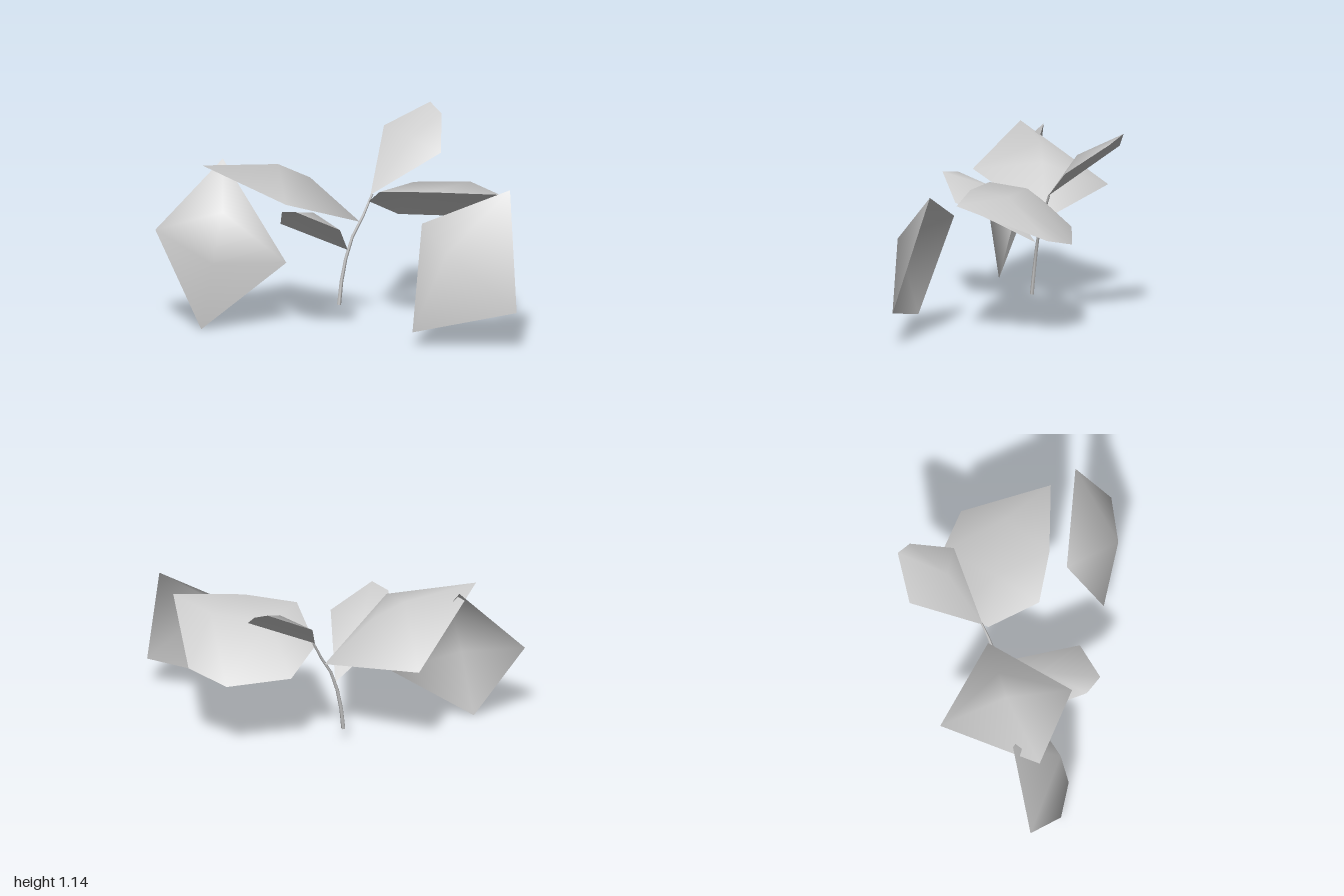
import * as THREE from 'three';

const grey = new THREE.MeshStandardMaterial({ color: 0xcccccc, side: THREE.DoubleSide });
grey.name = 'pale grey';

// A folded leaf: a raised midrib joined to a left and a right edge, all running base to tip.
function makeLeaf(name, { base, tip, left, right, rib }) {
  const points = [base, tip];
  const index = [];
  const chain = (list) => [0, ...list.map((p) => points.push(p) - 1), 1];
  const ribChain = chain(rib);

  const fill = (edge, flip) => {
    let i = 0;
    let j = 0;
    while (i < edge.length - 1 || j < ribChain.length - 1) {
      const nextEdge = (i + 1) / (edge.length - 1);
      const nextRib = (j + 1) / (ribChain.length - 1);
      const tri = [edge[i], ribChain[j]];
      if (nextEdge <= nextRib) tri.push(edge[++i]);
      else tri.push(ribChain[++j]);
      if (new Set(tri).size === 3) index.push(...(flip ? tri.reverse() : tri));
    }
  };
  fill(chain(left), false);
  fill(chain(right), true);

  const geometry = new THREE.BufferGeometry();
  geometry.setAttribute('position', new THREE.Float32BufferAttribute(points.flat(), 3));
  geometry.setIndex(index);
  geometry.computeVertexNormals();
  const mesh = new THREE.Mesh(geometry, grey);
  mesh.name = name;
  return mesh;
}

// Thin curved stem, narrowing towards the top.
function makeStem() {
  const path = new THREE.CatmullRomCurve3([
    [0.03, 0.1, -0.14], [0.055, 0.3, -0.158], [0.11, 0.49, -0.18],
    [0.16, 0.58, -0.2], [0.22, 0.715, -0.235],
  ].map((p) => new THREE.Vector3(...p)));
  const rings = 5;
  const sides = 5;
  const geometry = new THREE.TubeGeometry(path, rings, 0.012, sides);
  const pos = geometry.attributes.position;
  const v = new THREE.Vector3();
  for (let k = 0; k < pos.count; k++) {
    const t = Math.floor(k / (sides + 1)) / rings;
    const centre = path.getPointAt(t);
    v.fromBufferAttribute(pos, k).sub(centre).multiplyScalar(1 - 0.45 * t).add(centre);
    pos.setXYZ(k, v.x, v.y, v.z);
  }
  const mesh = new THREE.Mesh(geometry, grey);
  mesh.name = 'stem';
  return mesh;
}

const leaves = {
  hangingRightLeaf: {
    base: [-0.62, 0.93, -0.21], tip: [-0.75, 0.005, 0.04],
    left: [[-1, 0.53, -0.18]], right: [[-0.27, 0.37, -0.02]],
    rib: [[-0.63, 0.68, 0.06], [-0.69, 0.39, 0.095]],
  },
  largeRightLeaf: {
    base: [0.15, 0.56, -0.21], tip: [-0.74, 0.92, -0.08],
    left: [[-0.28, 0.75, 0.19]], right: [[-0.32, 0.65, -0.57]],
    rib: [[-0.13, 0.82, -0.2], [-0.31, 0.9, -0.19]],
  },
  largeLeftLeaf: {
    base: [0.2, 0.68, -0.2], tip: [0.93, 0.62, -0.22],
    left: [[0.25, 0.8, 0.1], [0.53, 0.82, 0.21], [0.92, 0.82, 0.29]],
    right: [[0.37, 0.57, -0.36], [0.74, 0.555, -0.36]],
    rib: [[0.45, 0.81, -0.11], [0.76, 0.835, 0]],
  },
  smallFrontLeaf: {
    base: [0.08, 0.41, -0.16], tip: [-0.23, 0.745, 0.36],
    left: [[0.02, 0.625, 0.29]],
    right: [[-0.305, 0.61, 0.05], [-0.305, 0.727, 0.27]],
    rib: [[-0.12, 0.675, 0.06]],
  },
  hangingLeftLeaf: {
    base: [0.97, 0.88, 0.44], tip: [0.42, 0.08, 0.5],
    left: [[0.48, 0.66, 0.3]], right: [[1, 0.22, 0.65]],
    rib: [[0.61, 0.56, 0.618]],
  },
  topLeaf: {
    base: [0.21, 0.71, -0.23], tip: [0.56, 1.15, -0.65],
    left: [[0.3, 1.02, -0.63]],
    right: [[0.61, 0.93, -0.32], [0.62, 1.1, -0.57]],
    rib: [[0.44, 1.0, -0.39]],
  },
};

export function createModel() {
  const model = new THREE.Group();
  model.name = 'plantSprig';
  model.add(makeStem());
  for (const [name, shape] of Object.entries(leaves)) model.add(makeLeaf(name, shape));
  return model;
}
